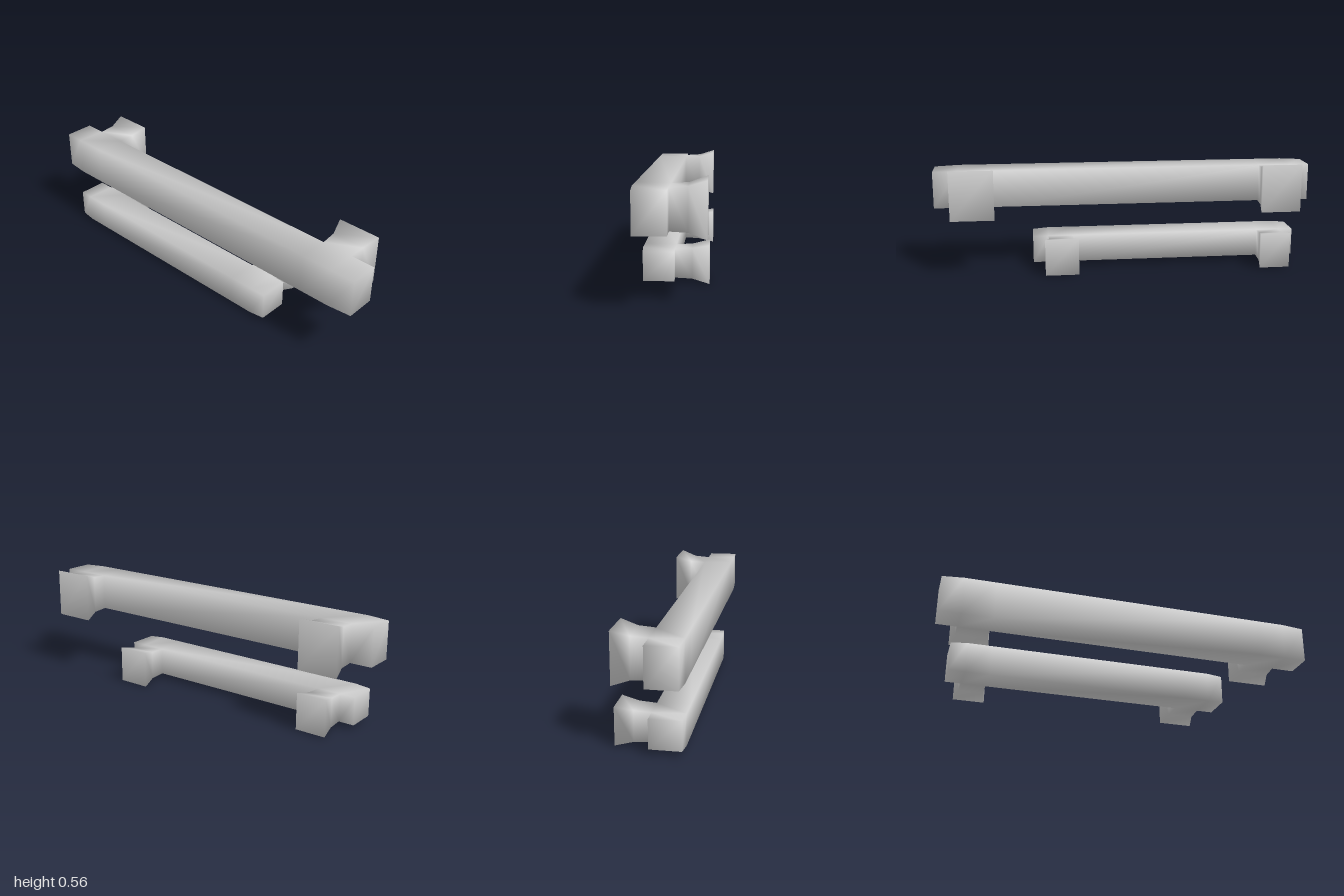
import * as THREE from 'three';

// One smooth bar with two flared feet growing out of its back.
// x: bar ends; y: bottom and top; feet: root, waist and flare extents
function makeBar(name, { x0, x1, y0, y1, feet }) {
  const pos = [], index = [];
  const point = (x, y, z) => pos.push(x, y, z) / 3 - 1;
  const quad = (a, b, c, d) => index.push(a, b, c, a, c, d);

  // Cross-section: back bottom, front bottom, front top, back top
  const section = (x, end) => {
    const inset = end ? 0.005 : 0;
    const front = end ? 0.157 : 0.164;
    return [
      point(x, y0 + 0.005, 0.005),
      point(x, y0 + inset, front),
      point(x, y1 - inset, front),
      point(x, y1 - 0.006, 0.005),
    ];
  };
  const xs = [x0, ...feet[0].root, ...feet[1].root, x1];
  const rings = xs.map((x, i) => section(x, i === 0 || i === xs.length - 1));

  // Bar sides, leaving the back open where a foot starts
  for (let i = 0; i < rings.length - 1; i++) {
    const isFoot = i === 1 || i === 3;
    const A = rings[i], B = rings[i + 1];
    for (let j = 0; j < 4; j++) {
      const k = (j + 1) % 4;
      if (j === 3 && isFoot) continue;
      quad(A[j], B[j], B[k], A[k]);
    }
    if (!isFoot) continue;

    // Foot: waist, then flared end
    const foot = feet[(i - 1) / 2];
    let ring = [A[3], B[3], B[0], A[0]];
    const levels = [
      { x: foot.waist, y: [y0 + 0.001, y1 - 0.001], z: -0.078 },
      { x: foot.flare, y: foot.y, z: -0.163 },
    ];
    for (const { x, y, z } of levels) {
      const next = [
        point(x[0], y[1], z), point(x[1], y[1], z),
        point(x[1], y[0], z), point(x[0], y[0], z),
      ];
      for (let m = 0; m < 4; m++) {
        const n = (m + 1) % 4;
        quad(ring[m], ring[n], next[n], next[m]);
      }
      ring = next;
    }
    quad(...ring);
  }

  // Bar ends
  const L = rings[0], R = rings[rings.length - 1];
  quad(L[0], L[1], L[2], L[3]);
  quad(R[1], R[0], R[3], R[2]);

  const geo = new THREE.BufferGeometry();
  geo.setAttribute('position', new THREE.Float32BufferAttribute(pos, 3));
  geo.setIndex(index);
  geo.computeVertexNormals();
  const mesh = new THREE.Mesh(geo, new THREE.MeshStandardMaterial({ color: 0xcccccc }));
  mesh.name = name;
  return mesh;
}

export function createModel() {
  const group = new THREE.Group();
  group.name = 'handlePair';

  // Long upper handle
  group.add(makeBar('upperHandle', {
    x0: -1, x1: 1, y0: 0.329, y1: 0.533,
    feet: [
      { root: [-0.888, -0.725], waist: [-0.89, -0.72], flare: [-0.912, -0.704], y: [0.306, 0.557] },
      { root: [0.714, 0.874], waist: [0.709, 0.88], flare: [0.682, 0.906], y: [0.302, 0.56] },
    ],
  }));

  // Short lower handle
  group.add(makeBar('lowerHandle', {
    x0: -0.925, x1: 0.49, y0: 0.02, y1: 0.174,
    feet: [
      { root: [-0.845, -0.725], waist: [-0.848, -0.722], flare: [-0.864, -0.706], y: [0.004, 0.19] },
      { root: [0.281, 0.408], waist: [0.279, 0.408], flare: [0.256, 0.43], y: [0, 0.191] },
    ],
  }));
  return group;
}
